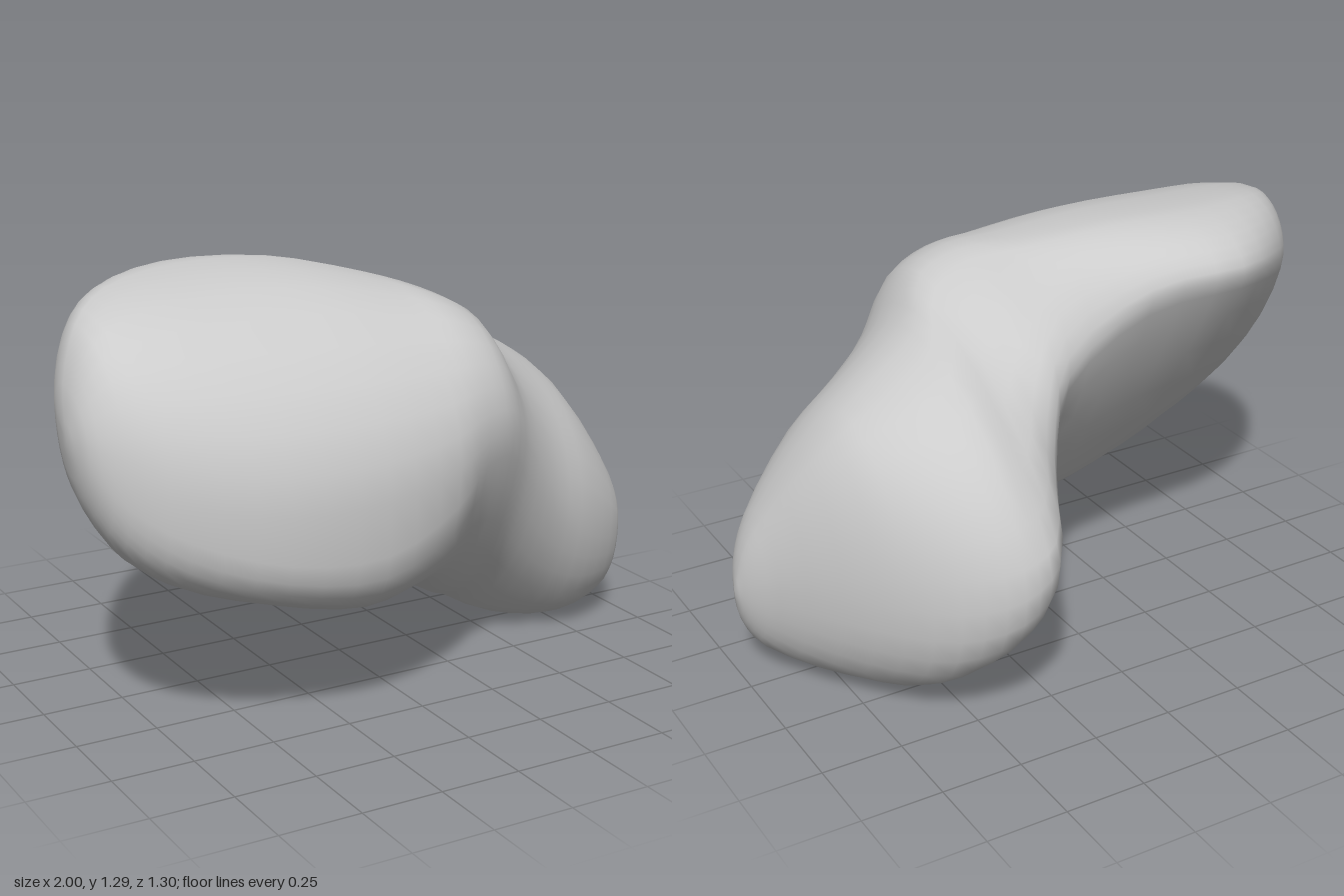
import * as THREE from 'three';

// Upright cross-sections from the right end (-x) to the left end (+x):
// x, topY, topZ, bottomY, bottomZ, frontZ, frontY, backZ, backY,
// then the curve of the rear and front underside (below 1 boxy, 1 round, 2 straight)
const SECTIONS = [
  [-0.975, 1.04, 0.20, 0.74, 0.28, 0.37, 0.86, 0.13, 0.96, 1.1, 0.9],
  [-0.90, 1.18, 0.12, 0.59, 0.32, 0.46, 0.80, -0.02, 1.02, 1.3, 0.75],
  [-0.76, 1.245, 0.00, 0.475, 0.27, 0.55, 0.75, -0.19, 1.08, 1.5, 0.6],
  [-0.50, 1.275, -0.08, 0.385, 0.19, 0.63, 0.70, -0.355, 1.13, 1.7, 0.5],
  [-0.20, 1.27, -0.05, 0.31, 0.15, 0.645, 0.70, -0.32, 1.10, 1.7, 0.55],
  [0.05, 1.22, 0.05, 0.285, 0.12, 0.61, 0.75, -0.27, 0.90, 1.5, 0.85],
  [0.18, 1.18, 0.16, 0.225, 0.13, 0.56, 0.80, -0.41, 0.68, 1.2, 1.2],
  [0.30, 1.12, 0.18, 0.155, 0.08, 0.51, 0.80, -0.63, 0.52, 0.95, 1.3],
  [0.42, 1.02, 0.00, 0.085, -0.05, 0.43, 0.70, -0.65, 0.45, 0.9, 1.2],
  [0.58, 0.94, -0.06, 0.00, -0.06, 0.36, 0.52, -0.57, 0.41, 0.9, 1.15],
  [0.75, 0.82, -0.08, 0.00, 0.04, 0.31, 0.42, -0.38, 0.40, 0.9, 1.0],
  [0.92, 0.54, 0.04, 0.07, 0.09, 0.22, 0.33, -0.08, 0.34, 1.0, 1.0],
  [0.975, 0.41, 0.07, 0.16, 0.10, 0.15, 0.30, 0.02, 0.30, 1.0, 1.0],
];
const RIGHT_TIP = new THREE.Vector3(-1, 0.9, 0.27);
const LEFT_TIP = new THREE.Vector3(1, 0.28, 0.08);
const QUARTER = 8; // points per quarter of a section
const AROUND = QUARTER * 4;
const STEPS = 3; // rings per section interval

// Point j of a section, running front, top, back, bottom
function sectionPoint([x, topY, topZ, botY, botZ, frontZ, frontY, backZ, backY, rear, fore], j) {
  const quarter = Math.floor(j / QUARTER);
  const a = ((j % QUARTER) / QUARTER) * Math.PI / 2;
  const blend = (side, sideY, end, endY, angle, p) => new THREE.Vector3(
    x,
    sideY + (endY - sideY) * Math.pow(Math.sin(angle), p),
    end + (side - end) * Math.pow(Math.max(0, Math.cos(angle)), p),
  );
  // The upper back is flattened behind the neck between the two lobes
  const slope = 1 + 0.4 * Math.exp(-Math.pow((x - 0.26) / 0.15, 2));
  const b = Math.PI / 2 - a;
  if (quarter === 0) return blend(frontZ, frontY, topZ, topY, a, 1);
  if (quarter === 1) return blend(backZ, backY, topZ, topY, b, slope);
  if (quarter === 2) return blend(backZ, backY, botZ, botY, a, rear);
  return blend(frontZ, frontY, botZ, botY, b, fore);
}

export function createModel() {
  // One lengthwise curve for each point around the sections
  const curves = Array.from({ length: AROUND }, (_, j) => new THREE.CatmullRomCurve3(
    [RIGHT_TIP, ...SECTIONS.map((s) => sectionPoint(s, j)), LEFT_TIP]));
  const rings = (SECTIONS.length + 1) * STEPS;

  const positions = [];
  for (let i = 0; i <= rings; i++) {
    for (const curve of curves) positions.push(...curve.getPoint(i / rings).toArray());
  }

  // Skin between rings, sharing one vertex at each tip
  const id = (i, j) => (i === 0 || i === rings ? i * AROUND : i * AROUND + (j % AROUND));
  const index = [];
  for (let i = 0; i < rings; i++) {
    for (let j = 0; j < AROUND; j++) {
      const a = id(i, j), b = id(i + 1, j), c = id(i + 1, j + 1), d = id(i, j + 1);
      if (a !== d) index.push(a, b, d);
      if (b !== c) index.push(b, c, d);
    }
  }

  const geometry = new THREE.BufferGeometry();
  geometry.setAttribute('position', new THREE.Float32BufferAttribute(positions, 3));
  geometry.setIndex(index);
  geometry.computeVertexNormals();

  const body = new THREE.Mesh(geometry, new THREE.MeshStandardMaterial({ color: 0xcccccc }));
  body.name = 'twoLobedRock';
  const model = new THREE.Group();
  model.name = 'rock';
  model.add(body);
  return model;
}
